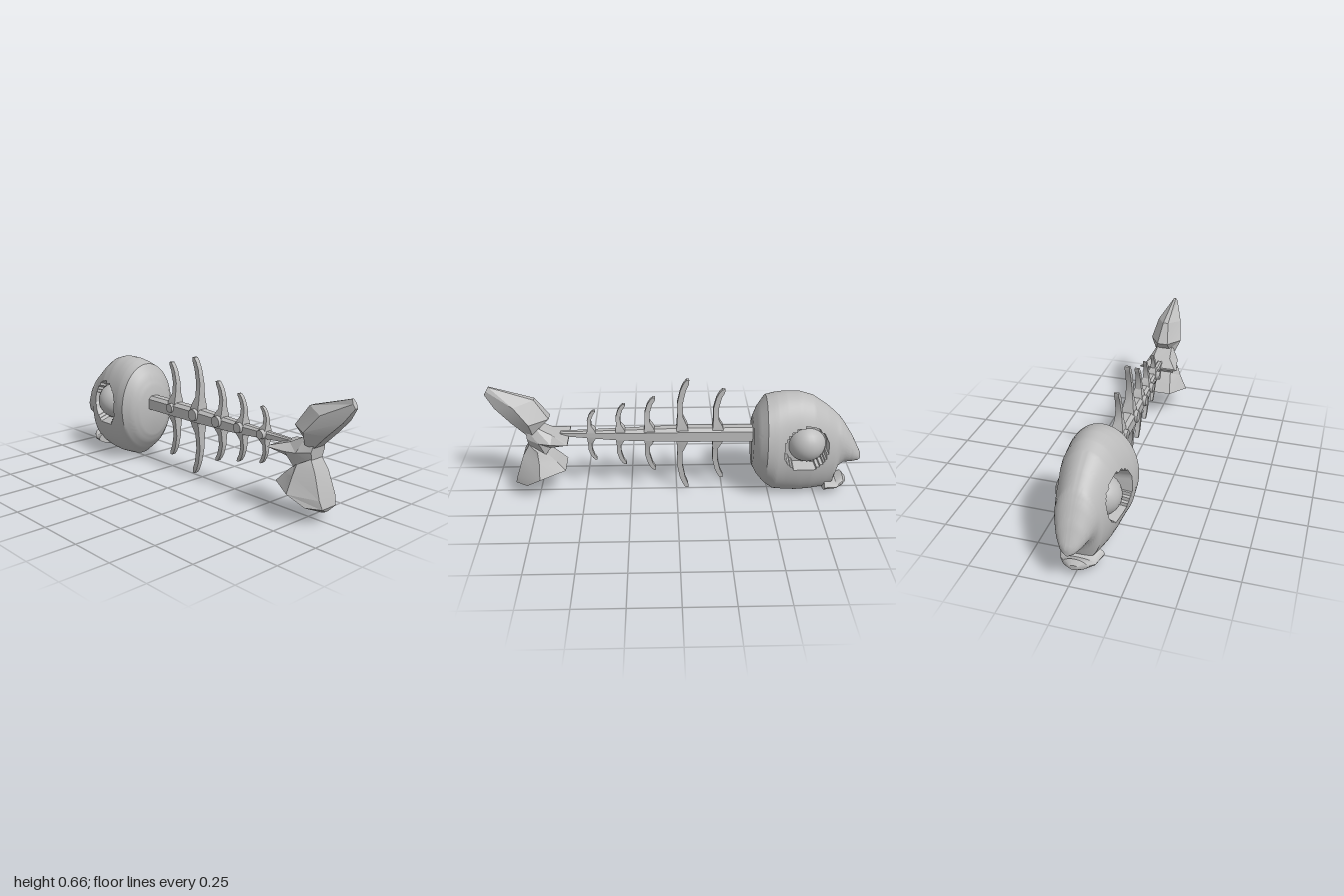
import * as THREE from 'three';
import { toCreasedNormals } from 'three/addons/utils/BufferGeometryUtils.js';

const bone = new THREE.MeshStandardMaterial({ color: 0xbcbcbc });
bone.name = 'bone grey';

// Skin closed rings of [x, y, z] points, capping both ends; faces always point outward.
function skin(rings, crease) {
  const n = rings[0].length, pos = rings.flat(2), idx = [];
  rings.slice(1).forEach((_, r) => {
    for (let i = 0; i < n; i++) {
      const a = r * n + i, b = r * n + (i + 1) % n;
      idx.push(a, b, b + n, a, b + n, a + n);
    }
  });
  const last = (rings.length - 1) * n;
  for (const [base, flip] of [[0, true], [last, false]]) {
    const c = pos.length / 3, ring = rings[base / n];
    for (let k = 0; k < 3; k++) pos.push(ring.reduce((s, p) => s + p[k], 0) / n);
    for (let i = 0; i < n; i++) {
      const a = base + i, b = base + (i + 1) % n;
      idx.push(...(flip ? [c, b, a] : [c, a, b]));
    }
  }
  // A negative volume means the shell is inside out
  const v = i => new THREE.Vector3().fromArray(pos, i * 3);
  let volume = 0;
  for (let i = 0; i < idx.length; i += 3) volume += v(idx[i]).dot(v(idx[i + 1]).cross(v(idx[i + 2])));
  if (volume < 0) idx.reverse();
  const geo = new THREE.BufferGeometry();
  geo.setAttribute('position', new THREE.Float32BufferAttribute(pos, 3));
  geo.setIndex(idx);
  return toCreasedNormals(geo, crease);
}

// Oval rings from stations [x, top, bottom, halfWidth], with linear steps between them
function ovalRings(stations, steps, sides) {
  const rings = [];
  stations.forEach((s, k) => {
    const next = stations[k + 1];
    const count = next ? Math.max(1, Math.round((next[0] - s[0]) * steps)) : 1;
    for (let j = 0; j < count; j++) {
      const [x, top, bottom, w] = next ? s.map((p, i) => p + (next[i] - p) * j / count) : s;
      rings.push(Array.from({ length: sides }, (_, i) => {
        const a = i / sides * Math.PI * 2;
        return [x, (top + bottom) / 2 + Math.cos(a) * (top - bottom) / 2, Math.sin(a) * w];
      }));
    }
  });
  return rings;
}

// Six-sided fin rings from stations [leadX, leadY, trailX, trailY, halfDepth, leadDepth, trailDepth]
function finRings(stations) {
  return stations.map(([ax, ay, bx, by, w, a, b]) => {
    const mx = (ax + bx) / 2, my = (ay + by) / 2;
    return [[ax, ay, a], [mx, my, w], [bx, by, b], [bx, by, -b], [mx, my, -w], [ax, ay, -a]];
  });
}

export function createModel() {
  const model = new THREE.Group();
  model.name = 'fishSkeleton';
  const add = (name, geo, parent = model) => {
    const mesh = new THREE.Mesh(geo, bone);
    mesh.name = name;
    parent.add(mesh);
    return mesh;
  };

  // Skull: the bottom drops behind the open mouth, the back is bevelled to a flat face
  const skull = ovalRings([
    [-1, 0.22, 0.18, 0.015], [-0.985, 0.25, 0.175, 0.04], [-0.95, 0.32, 0.172, 0.068],
    [-0.9, 0.4, 0.17, 0.093], [-0.87, 0.44, 0.14, 0.105], [-0.845, 0.465, 0.035, 0.115],
    [-0.8, 0.505, 0.018, 0.128], [-0.72, 0.56, 0.007, 0.152], [-0.65, 0.582, 0.003, 0.163],
    [-0.57, 0.583, 0.01, 0.172], [-0.52, 0.575, 0.018, 0.181], [-0.47, 0.56, 0.06, 0.181],
    [-0.43, 0.5, 0.11, 0.145], [-0.405, 0.44, 0.16, 0.1],
  ], 110, 96);
  // Eye sockets pressed into both sides
  const eyeX = -0.69, eyeY = 0.315;
  for (const p of skull.flat()) {
    const d = Math.hypot(p[0] - eyeX - 0.012, p[1] - eyeY);
    if (d < 0.117) p[2] = Math.sign(p[2]) * Math.min(Math.abs(p[2]), 0.085);
  }
  add('skull', skin(skull, 0.6));

  // Lower jaw
  add('lowerJaw', skin(ovalRings([
    [-0.93, 0.068, 0.042, 0.025], [-0.91, 0.09, 0.03, 0.06],
    [-0.87, 0.07, 0.024, 0.088], [-0.8, 0.1, 0.018, 0.11],
  ], 60, 20), 0.6));

  // Eyes
  for (const side of [1, -1]) {
    add(side > 0 ? 'leftEye' : 'rightEye', new THREE.SphereGeometry(0.102, 24, 16))
      .position.set(eyeX, eyeY, side * 0.058);
  }

  // Backbone: tapering bar with a bevelled top
  add('backbone', skin([
    [-0.42, 0.35, 0.037, 0.038], [-0.03, 0.352, 0.036, 0.04], [0.3, 0.35, 0.027, 0.03], [0.62, 0.357, 0.011, 0.014],
  ].map(([x, y, h, w]) => [
    [x, y - h, w], [x, y + h * 0.55, w], [x, y + h, w * 0.5],
    [x, y + h, -w * 0.5], [x, y + h * 0.55, -w], [x, y - h, -w],
  ]), 0.3));

  // Ribs: [x, top, bottom, scale]; each profile row is [height share, offset, halfWidth, halfDepth]
  const ribProfile = [
    [0, 0, 0.032, 0.032], [0.12, 0.002, 0.027, 0.03], [0.3, 0.012, 0.014, 0.02],
    [0.55, 0.013, 0.014, 0.015], [0.8, -0.002, 0.014, 0.013], [0.93, -0.018, 0.014, 0.012], [1, -0.026, 0.007, 0.012],
  ];
  const ribs = [[-0.22, 0.607, 0.075, 1], [-0.03, 0.662, 0.014, 1.05], [0.145, 0.563, 0.13, 0.95],
    [0.3, 0.527, 0.165, 0.85], [0.455, 0.491, 0.196, 0.75]];
  ribs.forEach(([x, top, bottom, s], i) => {
    const rib = new THREE.Group();
    rib.name = 'rib' + (i + 1);
    model.add(rib);
    for (const [name, start, end] of [['upperRib', 0.365, top], ['lowerRib', 0.34, bottom]]) {
      add(name, skin(ribProfile.map(([t, o, w, d]) => {
        const y = start + (end - start) * t, l = x + (o - w) * s, r = x + (o + w) * s;
        return [[l, y, d * s], [r, y, d * s], [r, y, -d * s], [l, y, -d * s]];
      }), 0.5), rib);
    }
    // Round joint on the left face of the backbone
    const joint = add('ribJoint', new THREE.CylinderGeometry(0.031 * s, 0.034 * s, 0.035, 10).rotateX(Math.PI / 2), rib);
    joint.position.set(x + 0.003, 0.357, 0.033 - (1 - s) * 0.025);
    if (i === 0) joint.scale.set(0.8, 0.8, 1);
  });

  // Tail: wide wedge at the root, then an upper and a lower fan
  const tail = new THREE.Group();
  tail.name = 'tail';
  model.add(tail);
  add('tailRoot', skin(finRings([
    [0.575, 0.345, 0.575, 0.335, 0.113, 0.1, 0.1], [0.66, 0.37, 0.67, 0.295, 0.093, 0.05, 0.05],
    [0.755, 0.42, 0.7, 0.255, 0.085, 0.04, 0.06], [0.8, 0.405, 0.785, 0.29, 0.05, 0.035, 0.035],
  ]), 0.3), tail);
  add('upperTailFin', skin(finRings([
    [0.73, 0.4, 0.79, 0.36, 0.06, 0.03, 0.035], [0.672, 0.455, 0.87, 0.44, 0.09, 0.03, 0.04],
    [0.745, 0.56, 0.95, 0.52, 0.068, 0.015, 0.028], [0.975, 0.632, 0.998, 0.59, 0.014, 0.005, 0.01],
  ]), 0.3), tail);
  add('lowerTailFin', skin(finRings([
    [0.69, 0.26, 0.785, 0.31, 0.085, 0.05, 0.04], [0.64, 0.212, 0.82, 0.25, 0.105, 0.06, 0.05],
    [0.597, 0.165, 0.86, 0.13, 0.143, 0.07, 0.06], [0.74, 0.095, 0.872, 0.085, 0.1, 0.03, 0.05],
    [0.84, 0.055, 0.86, 0.062, 0.02, 0.006, 0.01],
  ]), 0.3), tail);

  return model;
}
